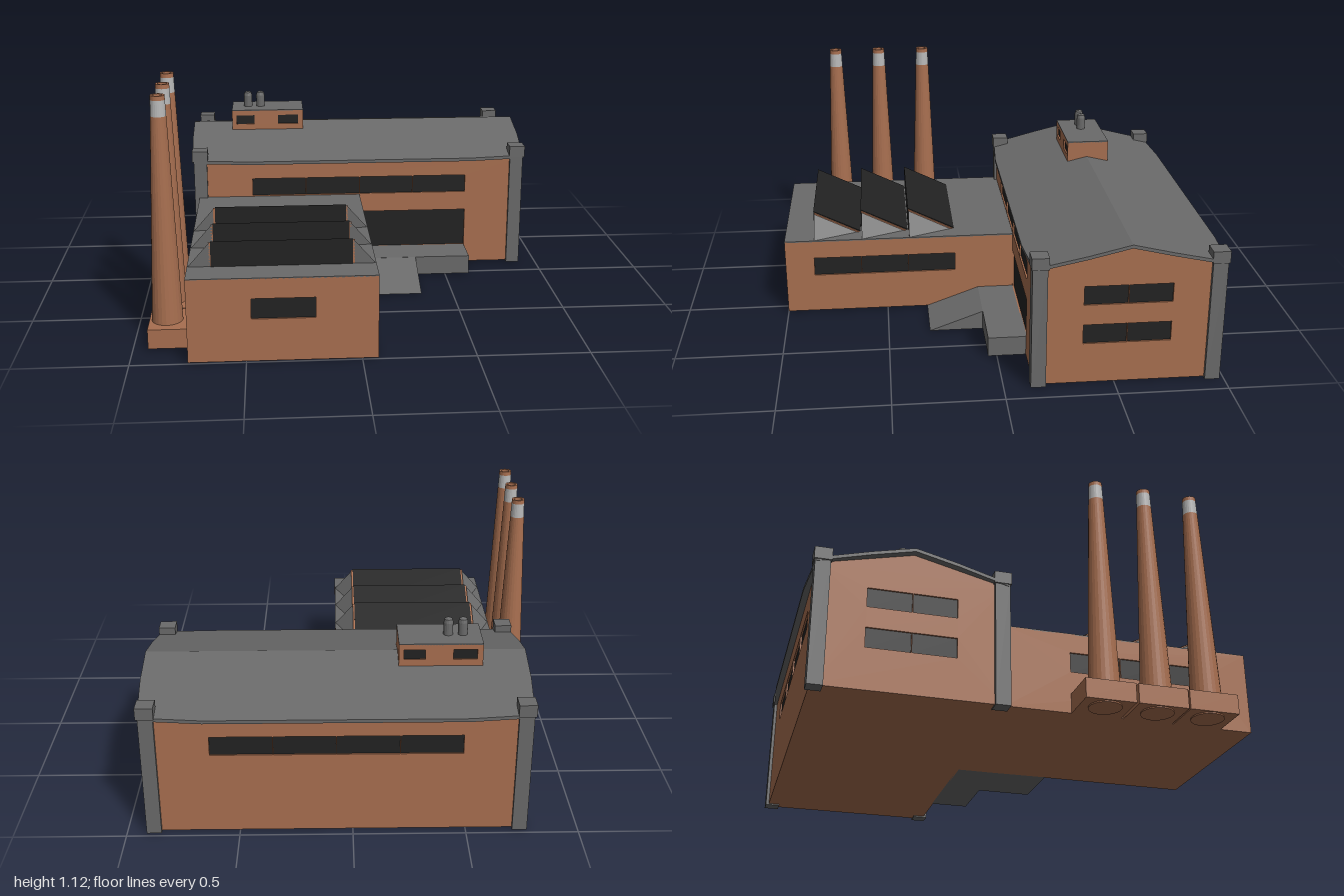
import * as THREE from 'three';
import { ConvexGeometry } from 'three/addons/geometries/ConvexGeometry.js';

const mat = (color, extra = {}) => new THREE.MeshStandardMaterial({ color, ...extra });
const BRICK = mat(0xa86f50, { flatShading: true });
const SLATE = mat(0x6a6a6a, { flatShading: true });
const GLASS = mat(0x222222, { flatShading: true });
const BAND = mat(0xb8b8b8, { flatShading: true });
const FLOOR = 0.006; // underside of the walls
const INSET = 0.012; // window recess depth

function add(parent, name, geometry, material, x = 0, y = 0, z = 0) {
  const mesh = new THREE.Mesh(geometry, material);
  mesh.name = name;
  mesh.position.set(x, y, z);
  parent.add(mesh);
  return mesh;
}

// Box given by its limits on each axis
function box(parent, name, material, x0, x1, y0, y1, z0, z1) {
  return add(parent, name, new THREE.BoxGeometry(x1 - x0, y1 - y0, z1 - z0), material,
    (x0 + x1) / 2, (y0 + y1) / 2, (z0 + z1) / 2);
}

const shapeOf = (pts) => new THREE.Shape(pts.map(([a, b]) => new THREE.Vector2(a, b)));

// Side profile of [z, y] points, swept from x0 to x1
function prism(parent, name, material, profile, x0, x1) {
  const g = new THREE.ExtrudeGeometry(shapeOf(profile), { depth: x1 - x0, bevelEnabled: false });
  g.rotateY(-Math.PI / 2);
  return add(parent, name, g, material, x1);
}

// Row of n equal windows as [x0, x1, y0, y1]
function row(n, x0, x1, y0, y1) {
  const w = (x1 - x0) / n;
  return Array.from({ length: n }, (_, i) => [x0 + i * w + 0.002, x0 + (i + 1) * w - 0.002, y0, y1]);
}

// Brick wall with recessed windows; local z = 0 is its outer face
function wall(parent, name, outline, windows, x, z, turn) {
  const group = new THREE.Group();
  group.name = name;
  const shape = shapeOf(outline);
  for (const [x0, x1, y0, y1] of windows) {
    shape.holes.push(shapeOf([[x0, y0], [x0, y1], [x1, y1], [x1, y0]]));
    box(group, 'windowPane', GLASS, x0, x1, y0, y1, -INSET - 0.002, -INSET + 0.004);
  }
  const g = new THREE.ExtrudeGeometry(shape, { depth: INSET, bevelEnabled: false });
  add(group, 'brickwork', g, BRICK, 0, 0, -INSET);
  group.position.set(x, 0, z);
  group.rotation.y = turn;
  parent.add(group);
}

const rect = (x0, x1, y0, y1) => [[x0, y0], [x1, y0], [x1, y1], [x0, y1]];

function mainHall() {
  const hall = new THREE.Group();
  hall.name = 'mainHall';
  hall.position.set(0.07, 0, -0.55);
  const hx = 0.825, hz = 0.415, eave = 0.57, peak = 0.672;
  const gable = (h) => [[-h, FLOOR], [h, FLOOR], [h, eave], [0, peak], [-h, eave]];
  prism(hall, 'hallCore', BRICK, gable(hz - INSET), -hx + INSET, hx - INSET);

  const long = rect(-hx, hx, FLOOR, eave);
  const upper = row(4, -0.55, 0.55, 0.39, 0.48);
  const door = [0.002, 0.55, 0.1, 0.293];
  wall(hall, 'frontWall', long, [...upper, door], 0, hz, 0);
  wall(hall, 'backWall', long, upper, 0, -hz, Math.PI);
  const ends = [...row(2, -0.2, 0.2, 0.39, 0.48), ...row(2, -0.2, 0.2, 0.2, 0.293)];
  for (const s of [1, -1]) wall(hall, 'gableWall', gable(hz), ends, s * hx, 0, s * Math.PI / 2);

  // Corner pillars with caps
  for (const sx of [1, -1]) for (const sz of [1, -1]) {
    add(hall, 'cornerPillar', new THREE.BoxGeometry(0.066, 0.6, 0.068), SLATE, sx * 0.81, 0.3, sz * 0.396);
    add(hall, 'pillarCap', new THREE.BoxGeometry(0.078, 0.056, 0.078), SLATE, sx * 0.812, 0.605, sz * 0.396);
  }

  // Two roof slopes with slightly drawn-in corners
  const slope = shapeOf([[-0.86, 0], [0.86, 0], [0.86, 0.19], [0.845, 0.425], [0.57, 0.445],
    [-0.57, 0.445], [-0.845, 0.425], [-0.86, 0.19]]);
  const g = new THREE.ExtrudeGeometry(slope, { depth: 0.016, bevelEnabled: false });
  g.rotateX(Math.PI / 2);
  const p = g.attributes.position;
  for (let i = 0; i < p.count; i++) p.setY(i, p.getY(i) + 0.685 - 0.24 * p.getZ(i));
  g.computeVertexNormals();
  add(hall, 'frontRoof', g, SLATE);
  add(hall, 'backRoof', g, SLATE).rotation.y = Math.PI;
  return hall;
}

// Small plant room on the ridge, with two vents
function roofHouse() {
  const house = new THREE.Group();
  house.name = 'roofHouse';
  house.position.set(-0.397, 0, -0.555);
  box(house, 'houseCore', BRICK, -0.176, 0.176, 0.62, 0.762, -0.093, 0.093);
  const outline = rect(-0.188, 0.188, 0.62, 0.762);
  const windows = [[-0.165, -0.07, 0.69, 0.738], [0.055, 0.162, 0.69, 0.738]];
  wall(house, 'houseFront', outline, windows, 0, 0.105, 0);
  wall(house, 'houseBack', outline, windows, 0, -0.105, Math.PI);
  for (const s of [1, -1]) wall(house, 'houseSide', rect(-0.105, 0.105, 0.62, 0.762), [], s * 0.188, 0, s * Math.PI / 2);
  box(house, 'houseRoof', SLATE, -0.188, 0.188, 0.76, 0.766, -0.105, 0.105);
  const vent = new THREE.LatheGeometry([[0.022, 0], [0.022, 0.06], [0.018, 0.076], [0.01, 0.081], [0, 0.081]]
    .map(([r, y]) => new THREE.Vector2(r, y)), 16);
  for (const x of [-0.104, -0.038]) add(house, 'roofVent', vent, SLATE, x, 0.765, 0);
  return house;
}

function workshop() {
  const shop = new THREE.Group();
  shop.name = 'workshop';
  const x0 = -0.75, x1 = 0.07, z0 = -0.14, z1 = 1, top = 0.383;
  box(shop, 'workshopCore', BRICK, x0 + INSET, x1 - INSET, FLOOR, top, z0, z1 - INSET);
  wall(shop, 'workshopFront', rect(x0, x1, FLOOR, top), [[-0.475, -0.2, 0.2, 0.293]], 0, z1, 0);
  wall(shop, 'workshopLeft', rect(-z1, -z0, FLOOR, top), row(3, -0.86, -0.155, 0.2, 0.293), x1, 0, Math.PI / 2);
  wall(shop, 'workshopRight', rect(z0, z1, FLOOR, top), row(3, 0.155, 0.86, 0.2, 0.293), x0, 0, -Math.PI / 2);
  box(shop, 'workshopRoof', SLATE, x0, x1, top - 0.003, top + 0.003, z0, z1);

  // Sawtooth skylights with grey hips at both ends
  for (let i = 0; i < 3; i++) {
    const zb = 0.155 + i * 0.235, zf = zb + 0.228;
    prism(shop, 'skylightFrame', BRICK, [[zb, top], [zf, top], [zf, 0.497]], -0.656, -0.024);
    prism(shop, 'skylightGlass', GLASS, [[zb, top], [zf + 0.003, top], [zf + 0.003, 0.502], [zb, top + 0.006]], -0.647, -0.033);
    for (const s of [1, -1]) {
      const at = (u, y, z) => new THREE.Vector3(-0.34 + s * u, y, z);
      add(shop, 'skylightHip', new ConvexGeometry([at(0.31, 0.497, zf), at(0.31, top, zf),
        at(0.41, top, zf), at(0.31, top, zb)]), SLATE);
    }
  }
  return shop;
}

// Tapered chimney on a brick plinth, hollow at the top
function chimney(z) {
  const group = new THREE.Group();
  group.name = 'chimney';
  group.position.set(-0.853, 0, z);
  box(group, 'plinth', BRICK, -0.08, 0.115, FLOOR, 0.096, -0.113, 0.113);
  const radius = (y) => 0.073 - 0.042 * y / 1.12;
  const turned = (name, pts, material) => add(group, name,
    new THREE.LatheGeometry(pts.map(([r, y]) => new THREE.Vector2(r, y)), 24), material);
  turned('stack', [[0, 0], [radius(0), 0], [radius(1.03), 1.03]], BRICK);
  turned('band', [[radius(1.03), 1.03], [radius(1.1), 1.1]], BAND);
  turned('rim', [[radius(1.1), 1.1], [radius(1.12), 1.12], [0.021, 1.12], [0.021, 1.04]], BRICK);
  turned('flueBottom', [[0.021, 1.04], [0, 1.04]], GLASS);
  return group;
}

export function createModel() {
  const model = new THREE.Group();
  model.name = 'factory';
  model.add(mainHall(), roofHouse(), workshop());
  for (const z of [0.268, 0.505, 0.738]) model.add(chimney(z));

  // Loading dock and ramp
  box(model, 'loadingDock', SLATE, 0.06, 0.62, FLOOR, 0.1, -0.14, 0.042);
  prism(model, 'dockRamp', SLATE, [[0.04, FLOOR], [0.3, FLOOR], [0.04, 0.1]], 0.06, 0.345);
  return model;
}
